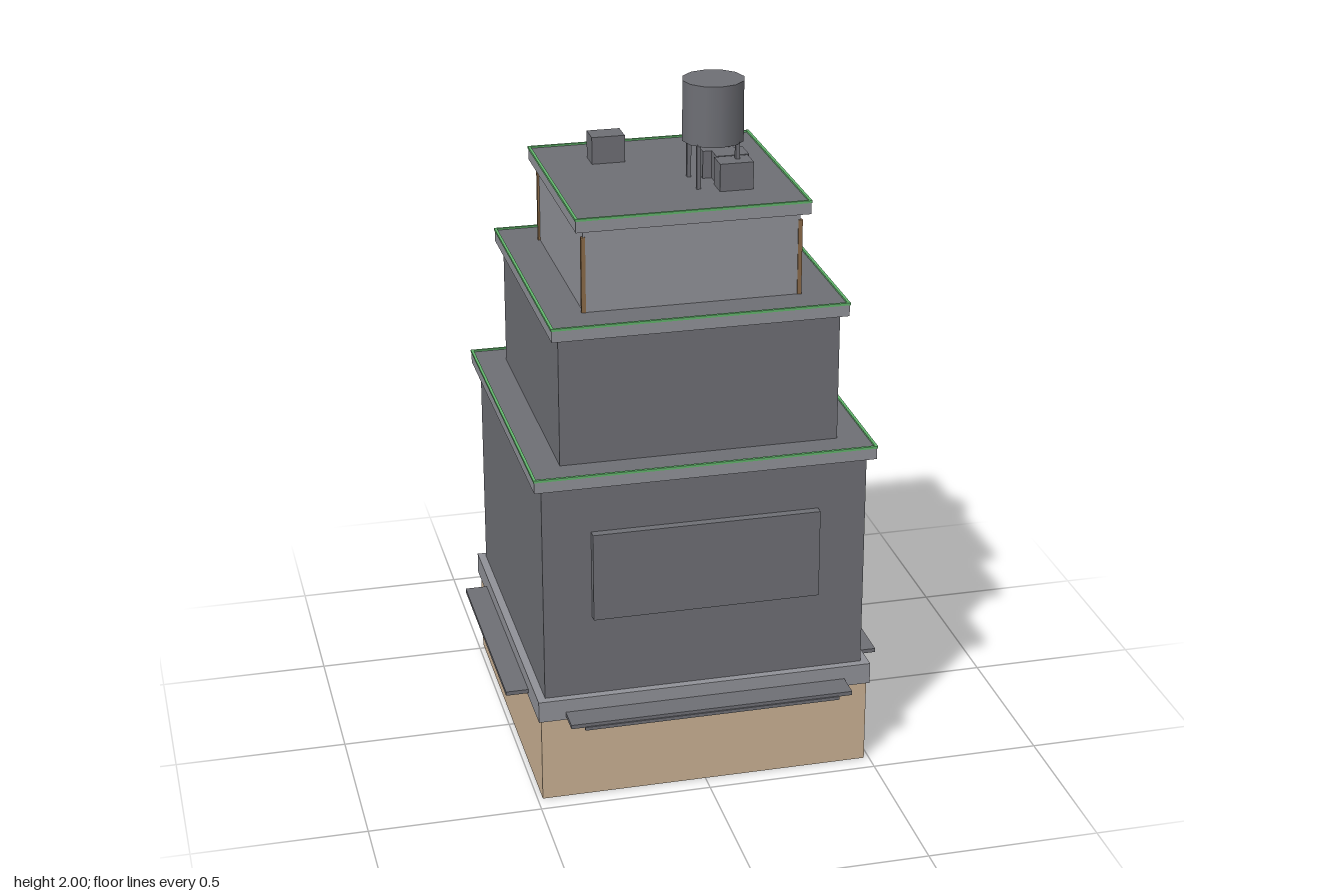
import * as THREE from 'three';

const mat = (name, color, side = THREE.FrontSide) => {
  const m = new THREE.MeshStandardMaterial({ color, side });
  m.name = name;
  return m;
};

export function createModel() {
  const model = new THREE.Group();
  model.name = 'steppedTower';
  const dark = mat('dark grey', 0x6e6f75);
  const light = mat('light grey', 0x919298);
  const tan = mat('tan', 0xcab193, THREE.DoubleSide);
  const green = mat('green', 0x62b56c);
  const brown = mat('brown', 0x8a6a48);
  const CZ = -0.04; // centre of the tower in z

  const add = (name, geometry, material, parent = model) => {
    const mesh = new THREE.Mesh(geometry, material);
    mesh.name = name;
    parent.add(mesh);
    return mesh;
  };
  // Box given by its minimum and maximum on each axis
  const box = (name, material, x0, x1, y0, y1, z0, z1, parent) => {
    const mesh = add(name, new THREE.BoxGeometry(x1 - x0, y1 - y0, z1 - z0), material, parent);
    mesh.position.set((x0 + x1) / 2, (y0 + y1) / 2, (z0 + z1) / 2);
    return mesh;
  };
  // Square block centred on the tower axis
  const block = (name, material, half, y0, y1, halfZ = half, parent) =>
    box(name, material, -half, half, y0, y1, CZ - halfZ, CZ + halfZ, parent);

  // Open plinth: four thin walls under a dark ceiling
  const plinth = new THREE.Group();
  plinth.name = 'plinth';
  model.add(plinth);
  for (let i = 0; i < 4; i++) {
    const wall = add('plinthWall', new THREE.PlaneGeometry(0.97, 0.255), tan, plinth);
    const a = i * Math.PI / 2;
    wall.position.set(Math.sin(a) * 0.485, 0.1275, CZ + Math.cos(a) * 0.485);
    wall.rotation.y = a;
  }
  block('plinthCeiling', dark, 0.482, 0.25, 0.256, 0.482, plinth);
  block('lowerBand', light, 0.493, 0.256, 0.32);

  // Three stacked storeys, each with a cornice, roof plate and green rim
  const tiers = [
    { half: 0.47, y0: 0.32, y1: 0.975, top: 1.01, cap: 0.493, m: dark },
    { half: 0.402, y0: 1.01, y1: 1.388, top: 1.423, cap: 0.423, m: dark },
    { half: 0.309, y0: 1.423, y1: 1.665, top: 1.7, cap: 0.333, m: light },
  ];
  tiers.forEach(({ half, y0, y1, top, cap, m }) => {
    const tier = new THREE.Group();
    tier.name = 'storey';
    model.add(tier);
    block('walls', m, half, y0, y1, half, tier);
    block('cornice', light, cap, y1, top - 0.002, cap, tier);
    block('roof', dark, cap - 0.004, top - 0.002, top, cap - 0.004, tier);
    const rim = new THREE.Shape();
    const hole = new THREE.Path();
    const square = (path, h) => path.moveTo(-h, -h).lineTo(h, -h).lineTo(h, h).lineTo(-h, h).closePath();
    square(rim, cap + 0.002);
    square(hole, cap - 0.006);
    rim.holes.push(hole);
    const g = new THREE.ExtrudeGeometry(rim, { depth: 0.007, bevelEnabled: false });
    g.rotateX(-Math.PI / 2);
    add('roofRim', g, green, tier).position.set(0, top - 0.002, CZ);
  });

  // Slim corner trims on the top storey
  for (const sx of [-1, 1]) for (const sz of [-1, 1]) {
    const post = add('cornerTrim', new THREE.BoxGeometry(0.012, 0.22, 0.012), brown);
    post.position.set(sx * 0.309, 1.533, CZ + sz * 0.306);
  }

  // Sign board and the three awnings
  box('frontPanel', dark, -0.33, 0.33, 0.565, 0.83, 0.42, 0.455);
  box('frontAwning', dark, -0.415, 0.415, 0.268, 0.28, 0.44, 0.531);
  box('frontAwningLip', dark, -0.375, 0.375, 0.26, 0.27, 0.525, 0.535);
  for (const s of [-1, 1]) {
    const x0 = Math.min(s * 0.48, s * 0.559), x1 = Math.max(s * 0.48, s * 0.559);
    box('sideAwning', dark, x0, x1, 0.268, 0.28, -0.38, 0.297);
  }

  // Roof machinery
  const units = [
    [-0.185, -0.088, -0.247, -0.177],
    [0.092, 0.187, -0.048, 0.022],
    [0.118, 0.213, 0.005, 0.075],
    [0.11, 0.207, 0.08, 0.147],
  ];
  for (const [x0, x1, z0, z1] of units) box('roofUnit', dark, x0, x1, 1.7, 1.78, z0, z1);

  // Water tank on four legs
  const tank = new THREE.Group();
  tank.name = 'waterTank';
  tank.position.set(0.114, 0, 0.05);
  model.add(tank);
  add('tankBody', new THREE.CylinderGeometry(0.089, 0.089, 0.175, 12), dark, tank).position.y = 1.9125;
  for (const sx of [-1, 1]) for (const sz of [-1, 1]) {
    const leg = add('tankLeg', new THREE.BoxGeometry(0.012, 0.13, 0.012), dark, tank);
    leg.position.set(sx * 0.056, 1.764, sz * 0.056);
  }
  return model;
}
